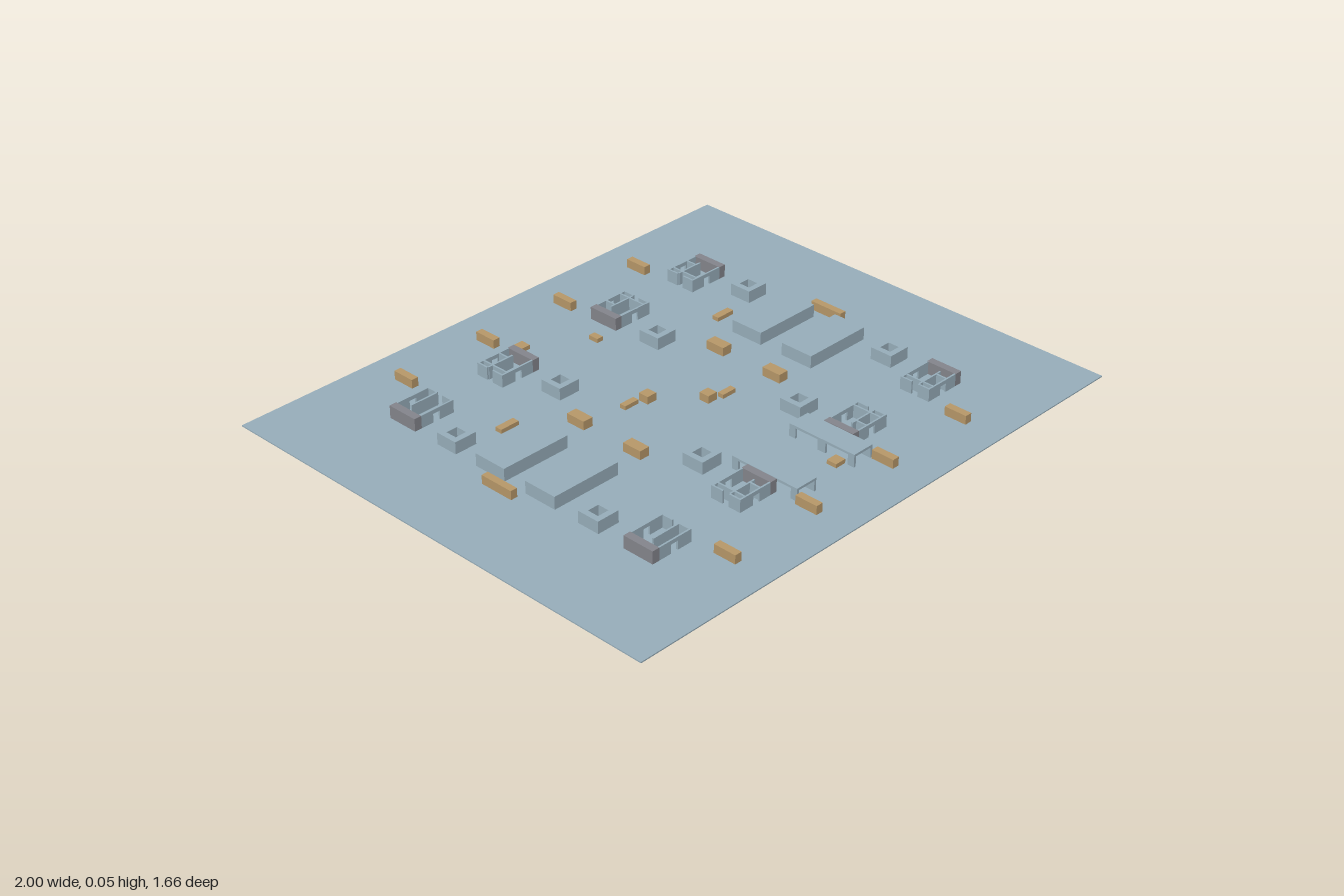
import * as THREE from 'three';

export function createModel() {
  const root = new THREE.Group();
  const mat = (name, color) => {
    const m = new THREE.MeshStandardMaterial({ color });
    m.name = name;
    return m;
  };
  const blue = mat('slateBlue', 0x98afbc);
  const grey = mat('wallGrey', 0x85868d);
  const tan = mat('crateTan', 0xb8996a);
  const BASE = 0.004, TOP = 0.047;

  const group = (name, x = 0, z = 0) => {
    const g = new THREE.Group();
    g.name = name;
    g.position.set(x, 0, z);
    root.add(g);
    return g;
  };

  // Box given by its extents in x, y and z
  const box = (parent, name, material, x0, x1, y0, y1, z0, z1) => {
    const mesh = new THREE.Mesh(new THREE.BoxGeometry(x1 - x0, y1 - y0, z1 - z0), material);
    mesh.position.set((x0 + x1) / 2, (y0 + y1) / 2, (z0 + z1) / 2);
    mesh.name = name;
    parent.add(mesh);
  };

  // Square outline, used for plates and shafts
  const rect = (target, x, z, w, d) => {
    target.moveTo(x - w / 2, z - d / 2);
    target.lineTo(x + w / 2, z - d / 2);
    target.lineTo(x + w / 2, z + d / 2);
    target.lineTo(x - w / 2, z + d / 2);
    target.closePath();
    return target;
  };
  const plate = (parent, name, shape, y, height) => {
    const geo = new THREE.ExtrudeGeometry(shape, { depth: height, bevelEnabled: false });
    geo.rotateX(-Math.PI / 2);
    const mesh = new THREE.Mesh(geo, blue);
    mesh.position.y = y;
    mesh.name = name;
    parent.add(mesh);
  };

  // Ground with four open shafts
  const ground = rect(new THREE.Shape(), 0, 0, 2, 1.66);
  for (const x of [-0.21, 0.21]) for (const z of [-0.295, 0.295])
    ground.holes.push(rect(new THREE.Path(), x, z, 0.04, 0.04));
  plate(root, 'ground', ground, 0, BASE);

  // Hollow square towers
  for (const x of [-0.628, -0.21, 0.21, 0.628]) for (const z of [-0.295, 0.295]) {
    const tower = group('tower', x, z);
    const wall = rect(new THREE.Shape(), 0, 0, 0.08, 0.08);
    wall.holes.push(rect(new THREE.Path(), 0, 0, 0.04, 0.04));
    plate(tower, 'towerWall', wall, BASE, 0.041);
  }

  // Roofless houses: thin walls, a doorway, partitions and one thick grey wall
  const house = (x, z, greySide, rooms) => {
    const g = group('house', x, z);
    const s = greySide, t = 0.006, w = 0.076, d = 0.056;
    const wall = (name, a, b, z0, z1, m = blue, top = TOP) =>
      box(g, name, m, Math.min(a * s, b * s), Math.max(a * s, b * s), BASE, top, z0, z1);
    const q = z > 0 ? -1 : 1;
    wall('greyWall', w - 0.026, w, -d, d, grey);
    wall('endWall', -w, -w + t, -d, -0.012);
    wall('endWall', -w, -w + t, 0.012, d);
    for (const zz of [-d, d - t]) {
      wall('sideWall', -w, -0.022, zz, zz + t);
      wall('sideWall', 0.004, w - 0.026, zz, zz + t);
      wall('doorLintel', -0.022, 0.004, zz, zz + t);
      g.children[g.children.length - 1].scale.y = 0.3;
      g.children[g.children.length - 1].position.y = TOP - 0.0065;
    }
    wall('partition', -w + t, 0.03, q * -0.012 - t / 2, q * -0.012 + t / 2);
    if (rooms) {
      wall('crossWall', -0.055, -0.055 + t, -d + t, d - t);
      wall('crossWall', 0.008, 0.008 + t, q > 0 ? -d + t : 0.012, q > 0 ? -0.012 : d - t);
    }
  };
  for (const z of [-0.49, 0.49]) {
    house(-0.592, z, -1, false);
    house(-0.243, z, 1, true);
    house(0.24, z, -1, true);
    house(0.589, z, 1, true);
  }

  // Long sheds: flat roof, closed back, two open bays on one side
  const shed = (x, z, length, depth, angle, openEnds) => {
    const g = group('shed', x, z);
    g.rotation.y = angle;
    const l = length / 2, d = depth / 2, t = 0.008;
    box(g, 'shedRoof', blue, -l, l, 0.039, TOP, -d, d);
    box(g, 'shedBack', blue, -l, l, BASE, 0.039, d - t, d);
    box(g, 'shedPost', blue, -0.015, 0.015, BASE, 0.039, -d, -d + t);
    for (const s of [-1, 1]) {
      const corner = s * (l - 0.012);
      box(g, 'shedPost', blue, corner - 0.012, corner + 0.012, BASE, 0.039, -d, -d + t);
      if (openEnds) continue;
      const end = s * (l - t / 2);
      box(g, 'shedEnd', blue, end - t / 2, end + t / 2, BASE, 0.039, -d + t, d - t);
    }
  };
  for (const x of [-0.543, 0.54]) for (const z of [-0.107, 0.101])
    shed(x, z, 0.25, 0.12, 0, false);
  for (const x of [-0.125, 0.121]) shed(x, 0.497, 0.25, 0.081, Math.PI / 2, true);

  // Crates: x, z, width, depth, top height
  const crates = [
    [-0.12, -0.565, 0.04, 0.036, 0.018], [0.082, -0.44, 0.024, 0.038, 0.018],
    [-0.0875, 0.425, 0.024, 0.026, 0.018], [0.062, 0.57, 0.04, 0.036, 0.018],
    [-0.126, -0.085, 0.055, 0.022, 0.018], [-0.065, -0.068, 0.037, 0.037, 0.03],
    [0.064, 0.06, 0.037, 0.037, 0.03], [0.125, 0.08, 0.055, 0.022, 0.018],
  ];
  for (const s of [-1, 1]) {
    crates.push([0.465 * s, -0.255, 0.07, 0.025, 0.018], [0.708 * s, -0.024, 0.024, 0.122, 0.034]);
    for (const k of [-1, 1])
      crates.push([0.3 * s, 0.117 * k, 0.037, 0.07, 0.034],
        [0.5 * s, 0.667 * k, 0.025, 0.08, 0.034], [0.166 * s, 0.667 * k, 0.025, 0.08, 0.034]);
  }
  for (const [x, z, w, d, top] of crates)
    box(root, 'crate', tan, x - w / 2, x + w / 2, BASE, top, z - d / 2, z + d / 2);

  return root;
}
